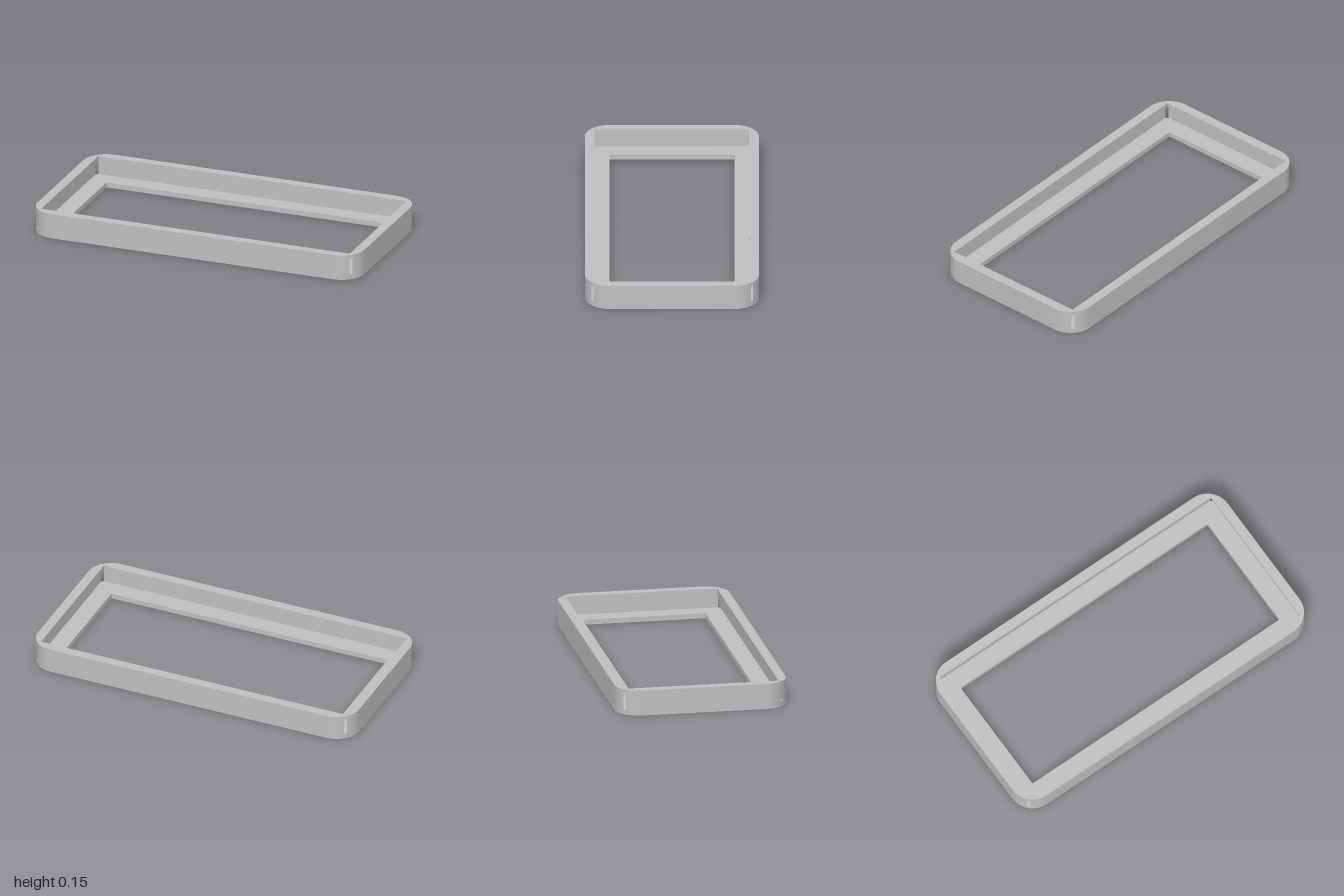
import * as THREE from 'three';
import { toCreasedNormals } from 'three/addons/utils/BufferGeometryUtils.js';

const R = 0.14;                      // outer corner radius
const CX = 0.86, CZ = 0.355;         // corner arc centres
const WALL = 0.035;                  // thickness of the undercut wall
const FLOOR = 0.03, LIP = 0.125, TOP = 0.148;

// Outer outline with rounded corners and a rectangular opening
function ringShape(holeX, holeZ) {
  const s = new THREE.Shape();
  s.absarc(CX, CZ, R, 0, Math.PI / 2);
  s.absarc(-CX, CZ, R, Math.PI / 2, Math.PI);
  s.absarc(-CX, -CZ, R, Math.PI, Math.PI * 1.5);
  s.absarc(CX, -CZ, R, Math.PI * 1.5, Math.PI * 2);
  s.closePath();
  s.holes.push(new THREE.Path([
    new THREE.Vector2(-holeX, -holeZ), new THREE.Vector2(-holeX, holeZ),
    new THREE.Vector2(holeX, holeZ), new THREE.Vector2(holeX, -holeZ),
  ]));
  return s;
}

// One thin side wall; its ends stop short of the corner, leaving a slot
function wallShape(half, offset) {
  const a = Math.asin((R - WALL) / R);
  const s = new THREE.Shape();
  s.absarc(half, offset, R, a, Math.PI / 2);
  s.absarc(-half, offset, R, Math.PI / 2, Math.PI - a);
  s.closePath();
  return s;
}

// Extrude a plan shape upwards between two heights
function layer(shape, y0, y1) {
  const g = new THREE.ExtrudeGeometry(shape, { depth: y1 - y0, bevelEnabled: false, curveSegments: 32 });
  g.rotateX(-Math.PI / 2);
  g.translate(0, y0, 0);
  return toCreasedNormals(g, Math.PI / 6);
}

export function createModel() {
  const group = new THREE.Group();
  group.name = 'frame';
  const grey = new THREE.MeshStandardMaterial({ color: 0xbfbfbf });
  grey.name = 'grey';

  const add = (name, geometry, turn = 0) => {
    const mesh = new THREE.Mesh(geometry, grey);
    mesh.name = name;
    mesh.rotation.y = turn;
    group.add(mesh);
  };

  // Bottom flange with the main opening
  add('bottomFlange', layer(ringShape(0.86, 0.355), 0, FLOOR));

  // Four undercut walls with open slots at the corners
  const longWall = layer(wallShape(CX, CZ), FLOOR, LIP);
  const shortWall = layer(wallShape(CZ, CX), FLOOR, LIP);
  add('backWall', longWall);
  add('frontWall', longWall, Math.PI);
  add('leftWall', shortWall, -Math.PI / 2);
  add('rightWall', shortWall, Math.PI / 2);

  // Retaining lip overhanging the walls
  add('topLip', layer(ringShape(0.944, 0.439), LIP, TOP));

  return group;
}
